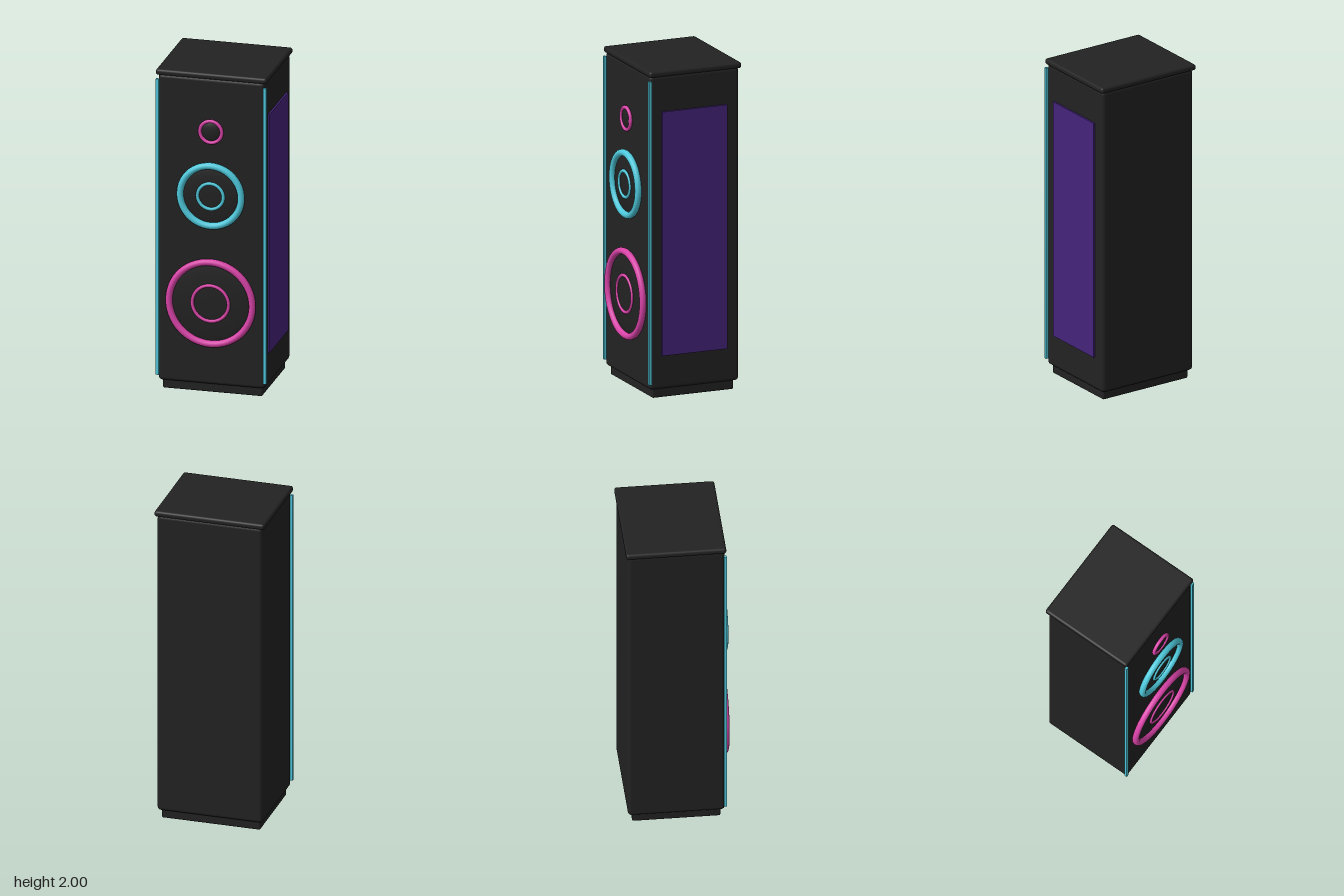
import * as THREE from 'three';
import { RoundedBoxGeometry } from 'three/addons/geometries/RoundedBoxGeometry.js';

const material = (name, color) => {
  const m = new THREE.MeshStandardMaterial({ color });
  m.name = name;
  return m;
};

export function createModel() {
  const black = material('charcoal', 0x222222);
  const cyan = material('cyan', 0x4ec9dc);
  const pink = material('pink', 0xd943a8);
  const purple = material('purple', 0x44237a);

  const model = new THREE.Group();
  model.name = 'towerSpeaker';

  function add(parent, name, geometry, mat, x, y, z) {
    const mesh = new THREE.Mesh(geometry, mat);
    mesh.name = name;
    mesh.position.set(x, y, z);
    parent.add(mesh);
    return mesh;
  }
  // Rounded box given by its limits on each axis
  function block(name, [x0, x1], [y0, y1], [z0, z1], radius, mat) {
    const geometry = new RoundedBoxGeometry(x1 - x0, y1 - y0, z1 - z0, 3, radius);
    add(model, name, geometry, mat, (x0 + x1) / 2, (y0 + y1) / 2, (z0 + z1) / 2);
  }

  // Cabinet with plinth and lid
  block('plinth', [-0.305, 0.305], [0, 0.07], [-0.275, 0.25], 0.01, black);
  block('cabinet', [-0.326, 0.326], [0.055, 1.97], [-0.301, 0.275], 0.022, black);
  block('lid', [-0.34, 0.34], [1.963, 2], [-0.313, 0.282], 0.015, black);

  // Light strips along the front corners
  for (const side of [-1, 1]) {
    add(model, side > 0 ? 'leftLightStrip' : 'rightLightStrip',
      new THREE.BoxGeometry(0.019, 1.85, 0.016), cyan, side * 0.3285, 1.015, 0.276);
  }

  // Coloured panel on one side
  add(model, 'sidePanel', new THREE.BoxGeometry(0.012, 1.49, 0.42), purple, 0.331, 1.005, -0.01);

  // Drivers: a shallow dome inside a thick ring, with an optional inner ring
  function driver(name, y, mat, radius, tube, z, inner) {
    const group = new THREE.Group();
    group.name = name;
    group.position.set(0, y, 0);
    model.add(group);
    const dome = add(group, 'dome', new THREE.SphereGeometry(radius, 40, 12, 0, Math.PI * 2, 0, Math.PI / 2),
      black, 0, 0, 0.274);
    dome.rotation.x = Math.PI / 2;
    dome.scale.y = 0.022 / radius;
    add(group, 'rim', new THREE.TorusGeometry(radius, tube, 12, 56), mat, 0, 0, z);
    if (inner) add(group, 'innerRing', new THREE.TorusGeometry(inner, 0.01, 10, 40), mat, 0, 0, 0.294);
  }
  driver('woofer', 0.57, pink, 0.255, 0.021, 0.289, 0.111);
  driver('midrange', 1.24, cyan, 0.187, 0.021, 0.289, 0.079);
  driver('tweeter', 1.64, pink, 0.067, 0.011, 0.286);

  return model;
}
